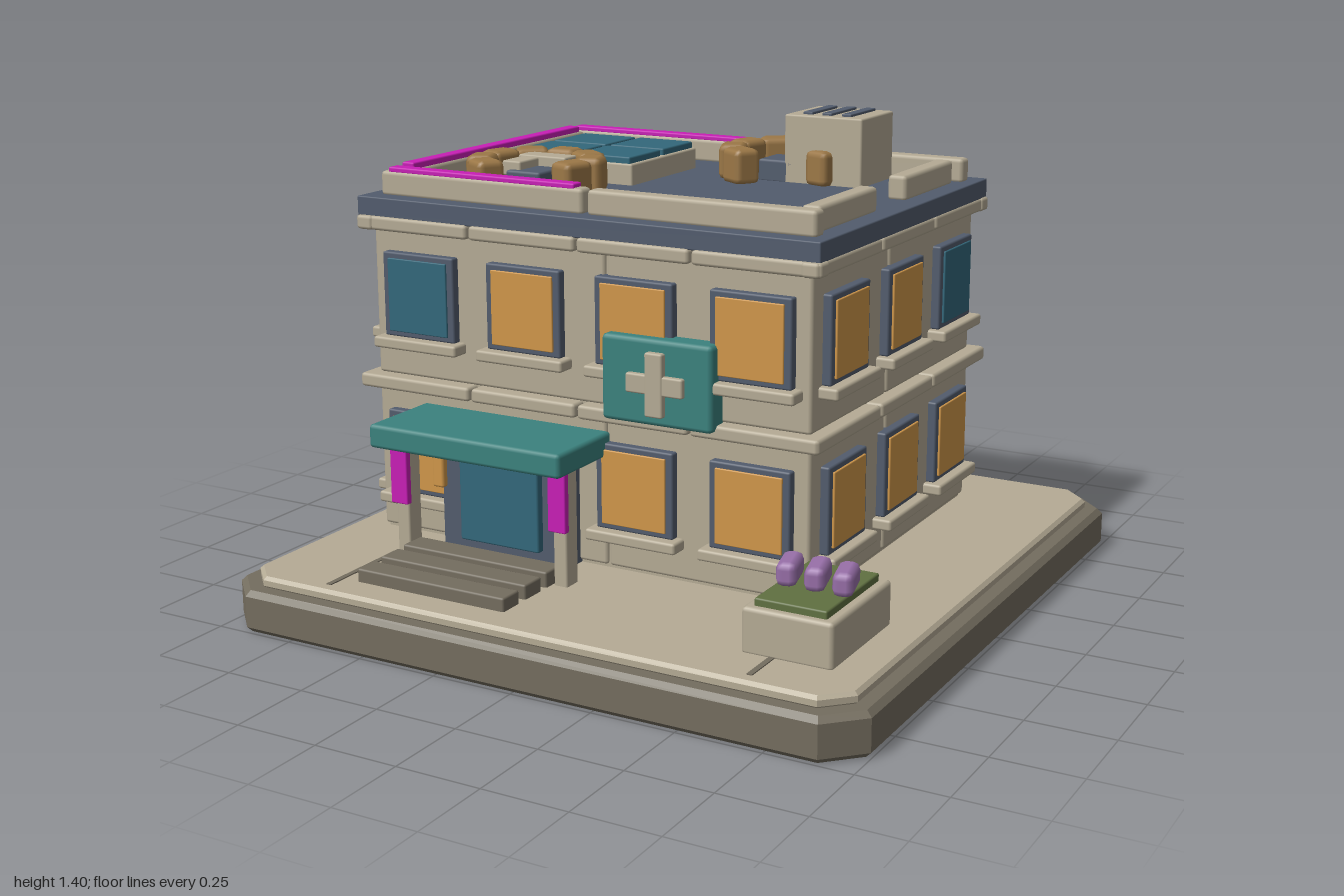
import * as THREE from 'three';
import { RoundedBoxGeometry } from 'three/addons/geometries/RoundedBoxGeometry.js';

const mat = (name, color) => {
  const m = new THREE.MeshStandardMaterial({ color });
  m.name = name;
  return m;
};

export function createModel() {
  const root = new THREE.Group();
  root.name = 'clinicBuilding';
  const concrete = mat('concrete', 0xb5ab95), stone = mat('darkStone', 0x746d5f);
  const slate = mat('slate', 0x525c6d), amber = mat('amberGlass', 0xd0974a);
  const glass = mat('blueGlass', 0x33687b), teal = mat('tealPaint', 0x3b827e);
  const magenta = mat('magentaPaint', 0xc81eb6), purple = mat('purpleFlower', 0x9970aa);
  const green = mat('grass', 0x607041), sack = mat('sackcloth', 0x9c7847);

  // Box with chamfered edges, given by its min and max on each axis
  function box(name, m, x0, x1, y0, y1, z0, z1, bevel = 0.008, parent = root) {
    const w = x1 - x0, h = y1 - y0, d = z1 - z0;
    const r = Math.min(bevel, w * 0.4, h * 0.4, d * 0.4);
    const geo = r > 0 ? new RoundedBoxGeometry(w, h, d, 1, r) : new THREE.BoxGeometry(w, h, d);
    const mesh = new THREE.Mesh(geo, m);
    mesh.name = name;
    mesh.position.set((x0 + x1) / 2, (y0 + y1) / 2, (z0 + z1) / 2);
    parent.add(mesh);
    return mesh;
  }

  // Square plate with cut corners and bevelled rims
  function plate(name, m, half, cut, y0, y1, bevel) {
    const a = half - bevel, c = a - cut;
    const shape = new THREE.Shape([
      [-c, -a], [c, -a], [a, -c], [a, c], [c, a], [-c, a], [-a, c], [-a, -c],
    ].map(([x, y]) => new THREE.Vector2(x, y)));
    const geo = new THREE.ExtrudeGeometry(shape, {
      depth: y1 - y0 - 2 * bevel, bevelEnabled: true, bevelSegments: 1,
      bevelSize: bevel, bevelThickness: bevel,
    });
    geo.rotateX(-Math.PI / 2).translate(0, y0 + bevel, 0);
    const mesh = new THREE.Mesh(geo, m);
    mesh.name = name;
    root.add(mesh);
  }

  // Ground
  plate('basePlate', stone, 1, 0.09, 0, 0.125, 0.016);
  plate('paving', concrete, 0.95, 0.07, 0.12, 0.157, 0.01);
  box('pavingGrooveLeft', stone, 0.658, 0.674, 0.155, 0.16, 0.6, 0.91, 0);
  box('pavingGrooveRight', stone, -0.678, -0.662, 0.155, 0.16, 0.6, 0.91, 0);

  // Wall blocks on two floors
  box('wallCore', concrete, -0.84, 0.58, 0.15, 1.13, -0.715, 0.4, 0);
  for (const [y0, y1] of [[0.165, 0.636], [0.644, 1.125]])
    for (const [x0, x1] of [[-0.85, -0.053], [-0.047, 0.59]])
      for (const [z0, z1] of [[-0.73, -0.093], [-0.087, 0.41]])
        box('wallBlock', concrete, x0, x1, y0, y1, z0, z1, 0.01);

  // Each facade is built facing +z: rows are upper then lower floor
  // T = blue glass, O = amber glass, - = no window
  const facades = [
    ['front', -0.13, 0.41, 0, 0.365, 1.52, ['TOOO', 'O-OO']],
    ['left', 0.59, -0.16, Math.PI / 2, 0.38, 1.22, ['OOT', 'OOO']],
    ['back', -0.13, -0.73, Math.PI, 0.365, 1.52, ['OTOO', 'TOOO']],
    ['right', -0.85, -0.16, -Math.PI / 2, 0.38, 1.22, ['OOT', 'OTO']],
  ];
  for (const [name, x, z, angle, pitch, span, rows] of facades) {
    const side = new THREE.Group();
    side.name = name + 'Facade';
    side.position.set(x, 0, z);
    side.rotation.y = angle;
    root.add(side);
    rows.forEach((row, floor) => {
      const y = floor === 0 ? 0.895 : 0.413, n = row.length;
      const trimY = floor === 0 ? 1.083 : 0.603, out = floor === 0 ? 0.035 : 0.042;
      for (let i = 0; i < n; i++) {
        const cx = (i - (n - 1) / 2) * pitch;
        // string course segment, the end ones reaching round the corner
        const a = i === 0 ? -span / 2 : cx - pitch / 2 + 0.004;
        const b = i === n - 1 ? span / 2 : cx + pitch / 2 - 0.004;
        box('trim', concrete, a, b, trimY, trimY + 0.042, -0.02, out, 0.01, side);
        if (row[i] === '-') continue;
        box('windowFrame', slate, cx - 0.125, cx + 0.125, y - 0.127, y + 0.127, -0.02, 0.027, 0.006, side);
        box('windowPane', row[i] === 'T' ? glass : amber,
          cx - 0.104, cx + 0.104, y - 0.11, y + 0.11, 0.026, 0.034, 0.003, side);
        box('windowSill', concrete, cx - 0.147, cx + 0.147, y - 0.16, y - 0.126, -0.02, 0.058, 0.008, side);
      }
    });
  }

  // Roof slab and parapets
  box('roofSlab', slate, -0.89, 0.622, 1.122, 1.18, -0.765, 0.435, 0.004);
  for (const z of [-0.685, 0.35]) {
    box('parapet', concrete, -0.845, -0.145, 1.175, 1.25, z - 0.028, z + 0.028, 0.012);
    box('parapet', concrete, -0.13, 0.582, 1.175, 1.25, z - 0.028, z + 0.028, 0.012);
    box('parapetStripe', magenta, -0.82, -0.175, 1.245, 1.262, z - 0.022, z + 0.022, 0.005);
  }
  box('parapet', concrete, -0.83, -0.775, 1.175, 1.25, -0.65, 0.31, 0.012);
  box('parapetStripe', magenta, -0.824, -0.781, 1.245, 1.267, -0.63, 0.3, 0.005);
  for (const [z0, z1] of [[-0.635, -0.27], [-0.07, 0.305]])
    box('parapet', concrete, 0.5, 0.56, 1.175, 1.25, z0, z1, 0.012);

  // Skylight with four panes
  box('skylightFrame', concrete, -0.695, -0.27, 1.175, 1.245, -0.515, -0.11, 0.006);
  for (const x of [-0.588, -0.378])
    for (const z of [-0.415, -0.21])
      box('skylightPane', glass, x - 0.097, x + 0.097, 1.24, 1.265, z - 0.094, z + 0.094, 0.005);

  // Roof vent unit
  box('ventUnit', concrete, 0.1, 0.358, 1.175, 1.388, -0.635, -0.4, 0.006);
  for (const x of [0.164, 0.228, 0.292])
    box('ventSlat', slate, x - 0.016, x + 0.016, 1.38, 1.396, -0.612, -0.43, 0.003);

  // Sandbag rings around a crate, open on one side
  for (const [cx, cz] of [[-0.485, 0.085], [0.07, -0.48]]) {
    const ring = new THREE.Group();
    ring.name = 'sandbagRing';
    ring.position.set(cx, 0, cz);
    root.add(ring);
    for (let i = 0; i < 8; i++) {
      const a = THREE.MathUtils.degToRad(19 - i * 36.7);
      const bag = box('sandbag', sack, -0.043, 0.043, 1.175, 1.285, -0.051, 0.051, 0.02, ring);
      bag.position.x = Math.cos(a) * 0.166;
      bag.position.z = Math.sin(a) * 0.166;
      bag.rotation.y = -a;
    }
    box('crate', slate, -0.06, 0.06, 1.175, 1.245, -0.045, 0.08, 0.008, ring);
  }
  box('roofCrossBar', concrete, -0.578, -0.41, 1.23, 1.275, -0.025, 0.045, 0.006);
  box('roofCrossBar', concrete, -0.57, -0.505, 1.225, 1.27, -0.105, 0.145, 0.006);

  // Entrance: canopy, posts, door, lamps and steps
  box('canopy', teal, -0.69, -0.042, 0.497, 0.568, 0.4, 0.68, 0.012);
  for (const x of [-0.632, -0.09]) {
    box('canopyPost', concrete, x - 0.022, x + 0.022, 0.15, 0.505, 0.545, 0.605, 0.006);
    box('postBanner', magenta, x - 0.029, x + 0.029, 0.32, 0.495, 0.6, 0.622, 0.004);
  }
  box('doorFrame', slate, -0.575, -0.145, 0.155, 0.5, 0.39, 0.485, 0.006);
  box('door', glass, -0.497, -0.225, 0.2, 0.487, 0.47, 0.51, 0.006);
  for (const x of [-0.578, -0.158])
    box('doorLamp', amber, x - 0.02, x + 0.02, 0.345, 0.452, 0.455, 0.505, 0.008);
  for (const [z0, z1, top] of [[0.55, 0.635, 0.202], [0.66, 0.742, 0.199], [0.772, 0.85, 0.196]])
    box('step', stone, -0.615, -0.118, 0.15, top, z0, z1, 0.006);

  // Wall sign with a raised cross
  box('signBoard', teal, -0.027, 0.323, 0.625, 0.872, 0.4, 0.478, 0.014);
  box('signCrossBar', concrete, 0.06, 0.24, 0.718, 0.774, 0.47, 0.495, 0.006);
  box('signCrossPost', concrete, 0.122, 0.178, 0.655, 0.838, 0.47, 0.498, 0.006);

  // Planter with three blooms
  box('planter', concrete, 0.575, 0.838, 0.15, 0.282, 0.412, 0.785, 0.012);
  box('planterGrass', green, 0.602, 0.81, 0.275, 0.303, 0.435, 0.762, 0.005);
  for (const x of [0.624, 0.706, 0.787]) {
    const bloom = box('bloom', purple, x - 0.029, x + 0.029, 0.3, 0.368, 0.535, 0.66, 0.02);
    bloom.rotation.y = 0.25;
  }
  return root;
}
